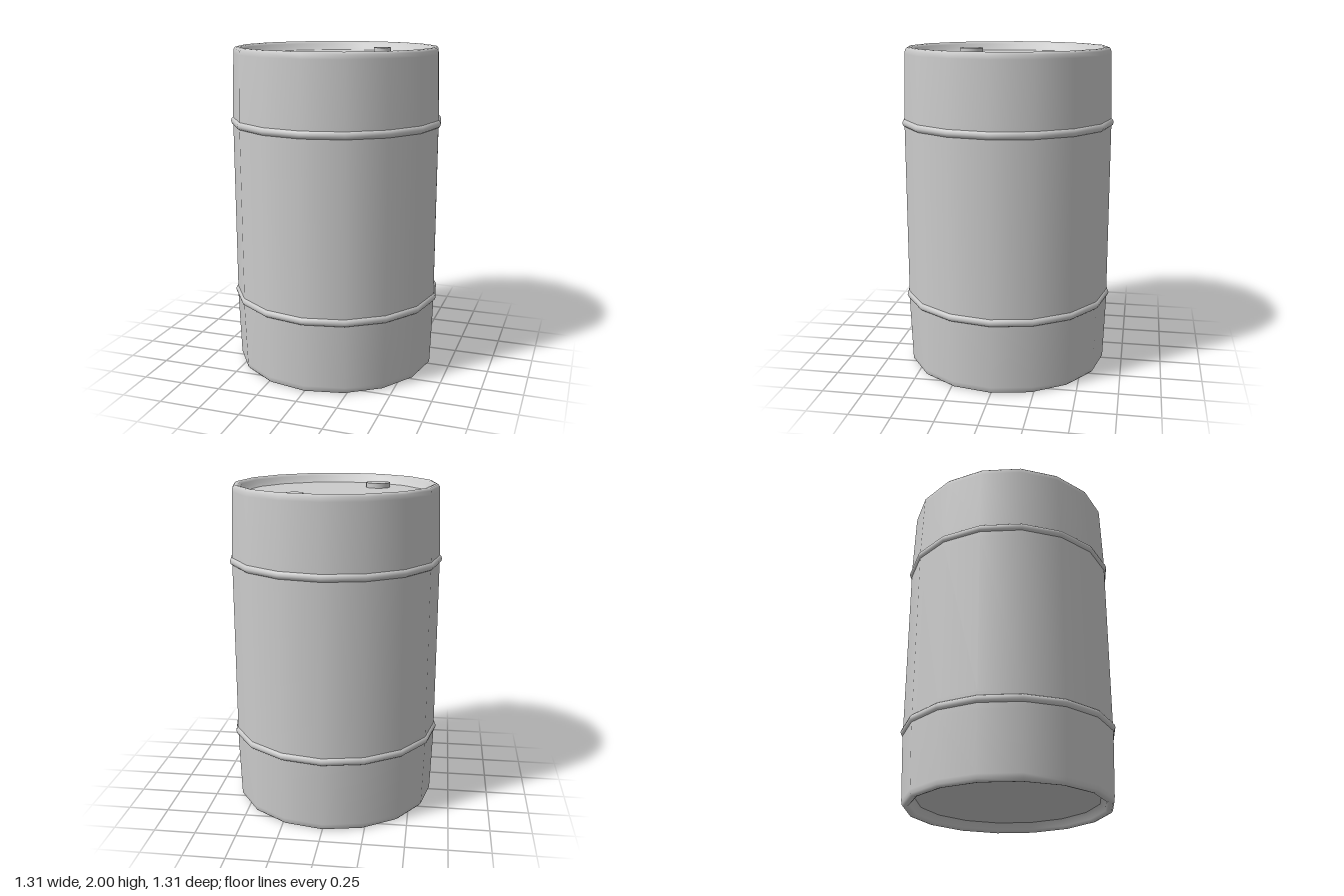
import * as THREE from 'three';

const SIDES = 16;

export function createModel() {
  const group = new THREE.Group();
  const material = new THREE.MeshStandardMaterial({ color: 0xcccccc });
  const add = (name, geometry, x = 0, y = 0, z = 0) => {
    const mesh = new THREE.Mesh(geometry, material);
    mesh.name = name;
    mesh.position.set(x, y, z);
    group.add(mesh);
    return mesh;
  };

  // Upper half of the wall and rolled rim, mirrored about mid height
  const upper = [
    [0.64, 1.5], [0.64, 1.6], [0.627, 1.96], [0.625, 1.985], [0.615, 1.997],
    [0.603, 2], [0.59, 1.997], [0.578, 1.985], [0.57, 1.965], [0.55, 1.945],
  ];
  const lower = upper.map(([r, y]) => [r, 2 - y]).reverse();
  const profile = [...lower, ...upper].map(([r, y]) => new THREE.Vector2(r, y));
  add('barrelWall', new THREE.LatheGeometry(profile, SIDES));

  // Recessed end plates
  const disc = () => new THREE.CircleGeometry(0.552, SIDES);
  add('lid', disc().rotateX(-Math.PI / 2), 0, 1.945, 0);
  add('base', disc().rotateX(Math.PI / 2), 0, 0.055, 0);

  // Rolling hoops
  for (const [name, y] of [['upperHoop', 1.55], ['lowerHoop', 0.455]]) {
    add(name, new THREE.TorusGeometry(0.627, 0.027, 10, SIDES).rotateX(Math.PI / 2), 0, y, 0);
  }

  // Bung caps on the lid
  for (const [name, r, x, z] of [['smallBung', 0.055, 0.19, -0.35], ['largeBung', 0.075, -0.235, 0.275]]) {
    add(name, new THREE.CylinderGeometry(r, r, 0.04, SIDES), x, 1.955, z);
  }
  return group;
}
